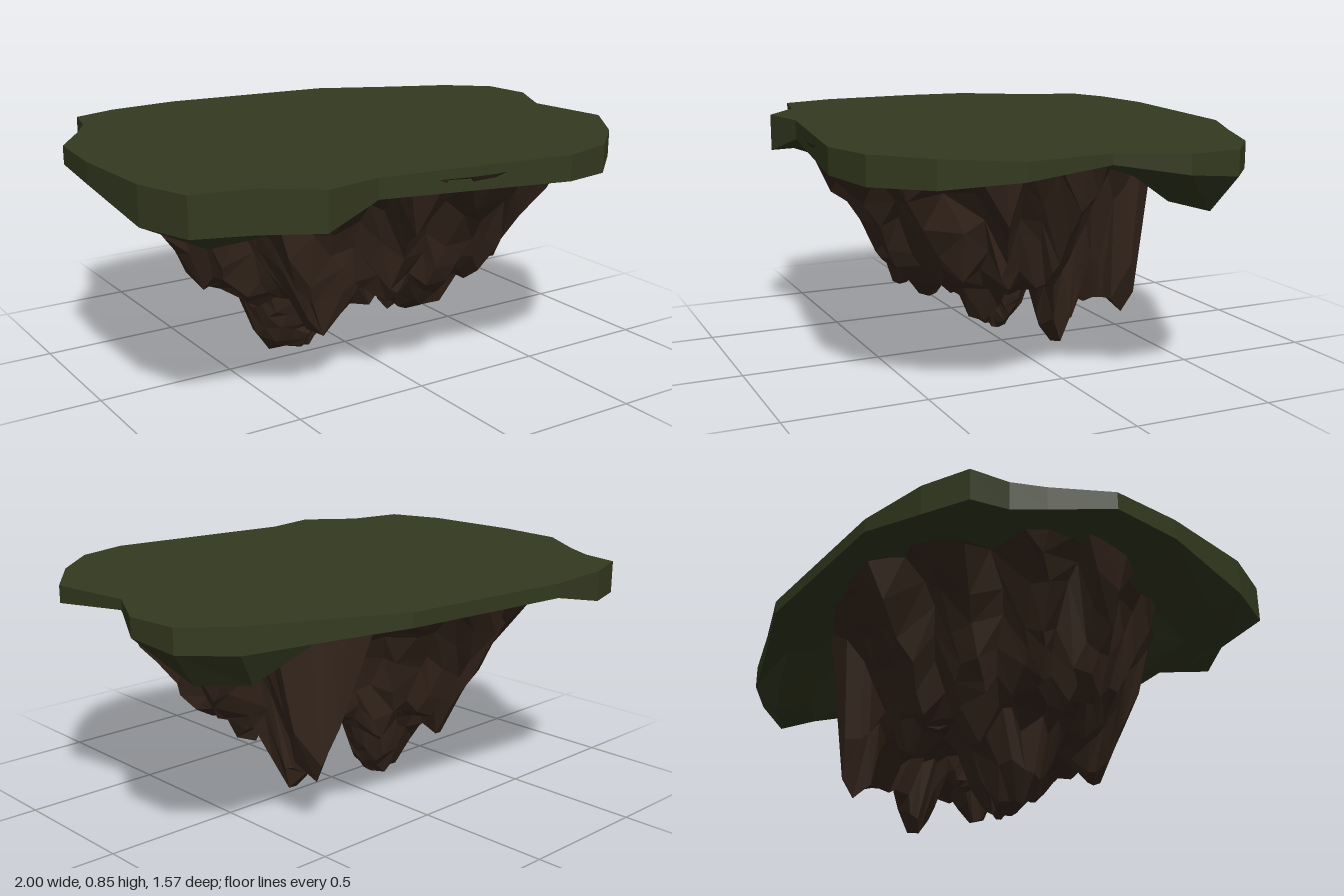
import * as THREE from 'three';

// Small seeded random source
function seeded(seed) {
  let s = seed;
  return () => ((s = (s * 16807) % 2147483647) / 2147483647);
}

// Skin of faceted quads over rings of points running from outside to inside, closed by end points
function skin(rings, topPoint, bottomPoint) {
  const pos = [];
  const tri = (a, b, c) => pos.push(...a, ...b, ...c);
  const n = rings[0].length;
  const last = rings[rings.length - 1];
  for (let i = 0; i < n; i++) {
    const j = (i + 1) % n;
    if (topPoint) tri(topPoint, rings[0][j], rings[0][i]);
    for (let k = 0; k + 1 < rings.length; k++) {
      const a = rings[k], b = rings[k + 1];
      tri(a[i], a[j], b[i]);
      tri(a[j], b[j], b[i]);
    }
    tri(last[i], last[j], bottomPoint);
  }
  const geo = new THREE.BufferGeometry();
  geo.setAttribute('position', new THREE.Float32BufferAttribute(pos, 3));
  geo.computeVertexNormals();
  return geo;
}

// Turf outline: x, z, rim height, underside height
const OUTLINE = [
  [-0.32, -0.786, 0.795, 0.79], [0.33, -0.72, 0.795, 0.79], [0.58, -0.6, 0.775, 0.775],
  [0.83, -0.49, 0.755, 0.635], [0.98, -0.36, 0.76, 0.635], [1, -0.17, 0.78, 0.73],
  [0.89, 0.04, 0.81, 0.795], [0.93, 0.35, 0.785, 0.785], [0.77, 0.57, 0.75, 0.77],
  [0.59, 0.73, 0.745, 0.77], [0.39, 0.786, 0.755, 0.77], [-0.32, 0.69, 0.775, 0.78],
  [-0.53, 0.73, 0.71, 0.72], [-0.7, 0.6, 0.7, 0.67], [-0.91, 0.56, 0.71, 0.65],
  [-0.98, 0.36, 0.71, 0.67], [-1, 0, 0.77, 0.75], [-0.98, -0.26, 0.78, 0.77],
  [-0.85, -0.45, 0.76, 0.76], [-0.79, -0.56, 0.74, 0.75], [-0.76, -0.7, 0.73, 0.74],
  [-0.59, -0.76, 0.735, 0.76],
];

// Rock profile: share of the radius, height
const PROFILE = [
  [0, 0.34], [0.4, 0.32], [0.58, 0.3], [0.69, 0.38], [0.77, 0.5], [0.86, 0.63], [0.93, 0.72], [1, 0.8], [1.3, 0.82],
];

// Hanging points: x, z, tip height, then half widths in x and z a quarter unit above the tip
const SPIKES = [
  [-0.27, -0.05, 0.02, 0.15, 0.14], [-0.19, -0.06, 0, 0.16, 0.15],
  [0.27, -0.08, 0.05, 0.1, 0.1], [0.26, 0.2, 0.15, 0.11, 0.11],
  [0.1, 0.02, 0.2, 0.14, 0.12], [0.36, -0.29, 0.165, 0.1, 0.11],
  [0.3, -0.19, 0.2, 0.11, 0.1], [-0.29, 0.29, 0.18, 0.12, 0.11],
  [-0.29, -0.27, 0.18, 0.12, 0.1], [-0.45, 0.1, 0.26, 0.09, 0.12],
  [-0.58, 0.02, 0.34, 0.1, 0.12], [0.47, 0.1, 0.34, 0.08, 0.1],
  [0.42, 0.35, 0.36, 0.1, 0.11], [0.06, 0.33, 0.21, 0.13, 0.1],
  [0.04, -0.27, 0.23, 0.12, 0.1], [-0.1, 0.47, 0.46, 0.11, 0.08],
  [-0.4, 0.34, 0.38, 0.1, 0.1], [-0.5, -0.22, 0.36, 0.11, 0.1],
];

function profileHeight(r) {
  const k = Math.max(1, PROFILE.findIndex((p) => p[0] >= r));
  const [r0, y0] = PROFILE[k - 1], [r1, y1] = PROFILE[k];
  return y0 + ((y1 - y0) * (r - r0)) / (r1 - r0);
}

// Lowest of the main body and every hanging point
function rockHeight(x, z, r) {
  let y = profileHeight(r);
  for (const [sx, sz, tip, wx, wz] of SPIKES) {
    y = Math.min(y, tip + 0.25 * Math.hypot((x - sx) / wx, (z - sz) / wz) ** 2.3);
  }
  return y;
}

// One continuous craggy surface on jittered rings, flared where it meets the turf
function rockGeometry() {
  const rnd = seeded(4217);
  const sides = 46;
  const shares = [1, 0.94, 0.88, 0.81, 0.75, 0.69, 0.63, 0.56, 0.48, 0.4, 0.32, 0.24, 0.16, 0.08];
  const ridges = Array.from({ length: sides }, (_, i) => ((i % 3) - 1) * 0.05 + (rnd() - 0.5) * 0.1);
  const rings = shares.map((share, k) => ridges.map((ridge, i) => {
    const a = ((i + (rnd() - 0.5) * 0.7) / sides) * Math.PI * 2;
    const r = k ? share + (rnd() - 0.5) * 0.045 : share;
    const wide = r * (1 + 0.13 * Math.sin(2 * a));
    const flare = Math.max(0, share - 0.85) / 0.15;
    const x = -0.055 + Math.cos(a) * (0.75 + 0.03 * flare) * wide;
    const z = 0.035 + Math.sin(a) * (0.6 + 0.1 * flare) * wide;
    if (!k) return [x, 0.815, z];
    const y = rockHeight(x, z, r * (1 + ridge)) + (rnd() - 0.5) * 0.03;
    return [x, Math.max(0, y), z];
  }));
  return skin(rings, null, [-0.055, 0.27, 0.035]);
}

export function createModel() {
  const grass = new THREE.MeshStandardMaterial({ color: 0x343a20 });
  grass.name = 'mossGreen';
  const rock = new THREE.MeshStandardMaterial({ color: 0x38281e });
  rock.name = 'darkEarth';
  const model = new THREE.Group();
  model.name = 'floatingIsland';
  const add = (name, geo, mat) => {
    const mesh = new THREE.Mesh(geo, mat);
    mesh.name = name;
    model.add(mesh);
  };

  // Flat turf slab with a wavy rim and drooping lumps
  const turf = [
    OUTLINE.map(([x, z]) => [x, 0.846, z]),
    OUTLINE.map(([x, z, rim]) => [x, rim, z]),
    OUTLINE.map(([x, z, , under]) => [x * 0.9, under, z * 0.9]),
    OUTLINE.map(([x, z, , under]) => [x * 0.74, under + 0.01, z * 0.74]),
    OUTLINE.map(([x, z]) => [x * 0.6, 0.8, z * 0.6]),
  ];
  add('grassTop', skin(turf, [0, 0.846, 0], [0, 0.8, 0]), grass);

  // Jagged rock hanging beneath
  add('hangingRock', rockGeometry(), rock);
  return model;
}
